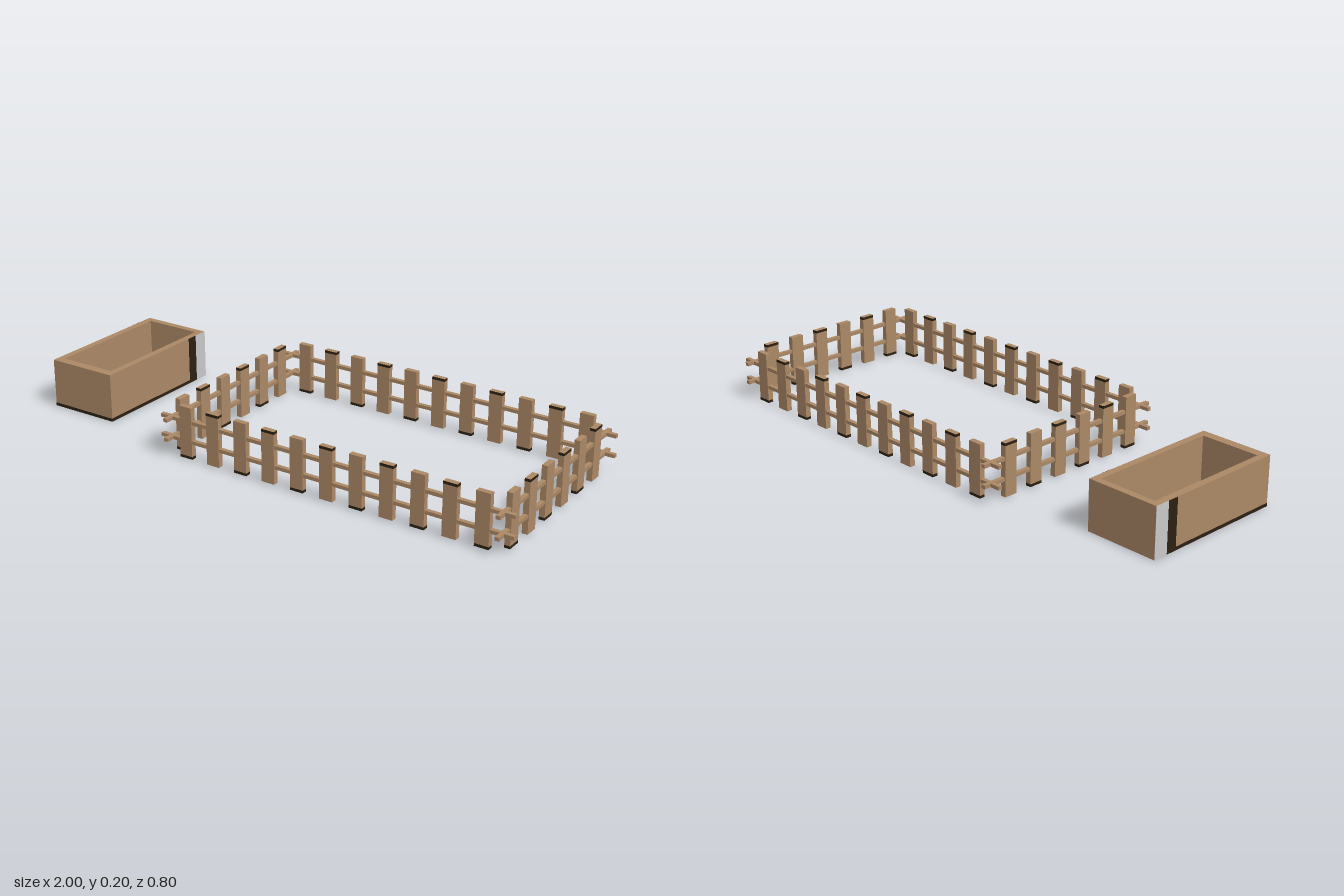
import * as THREE from 'three';

const wood = new THREE.MeshStandardMaterial({ color: 0xab8866 });
wood.name = 'wood';
const dark = new THREE.MeshStandardMaterial({ color: 0x2b2012 });
dark.name = 'darkStain';
const grey = new THREE.MeshStandardMaterial({ color: 0xc8c8c8 });
grey.name = 'paleGrey';

// Box between two corners
function block(name, material, [x0, y0, z0], [x1, y1, z1]) {
  const mesh = new THREE.Mesh(new THREE.BoxGeometry(x1 - x0, y1 - y0, z1 - z0), material);
  mesh.position.set((x0 + x1) / 2, (y0 + y1) / 2, (z0 + z1) / 2);
  mesh.name = name;
  return mesh;
}

// One picket, standing at the origin and wide along x; one end is stained
function picket(stainedTop) {
  const g = new THREE.Group();
  g.name = 'picket';
  const w = 0.026, t = 0.0105, lo = 0.005, hi = 0.2, cap = 0.01;
  const sides = [dark, dark, wood, wood, dark, dark];
  if (stainedTop) {
    g.add(block('board', wood, [-w, lo, -t], [w, hi - cap, t]),
      block('stainedEnd', sides, [-w, hi - cap, -t], [w, hi, t]));
  } else {
    g.add(block('board', wood, [-w, lo + cap, -t], [w, hi, t]),
      block('stainedEnd', sides, [-w, lo, -t], [w, lo + cap, t]));
  }
  return g;
}

// Straight fence run along x: two rails with evenly spaced pickets
function fenceRun(name, count, length) {
  const g = new THREE.Group();
  g.name = name;
  for (const y of [0.069, 0.143]) {
    g.add(block('rail', wood, [-length / 2, y - 0.0065, -0.008], [length / 2, y + 0.0065, 0.008]));
  }
  for (let i = 0; i < count; i++) {
    const p = picket(i % 2 === 1);
    p.position.x = (i - (count - 1) / 2) * 0.1177;
    g.add(p);
  }
  return g;
}

function createFence() {
  const fence = new THREE.Group();
  fence.name = 'fence';
  for (const [name, z] of [['frontFence', 0.362], ['backFence', -0.368]]) {
    const run = fenceRun(name, 11, 1.4);
    run.position.set(0.3, 0, z);
    fence.add(run);
  }
  for (const [name, x] of [['rightFence', -0.355], ['leftFence', 0.957]]) {
    const run = fenceRun(name, 6, 0.804);
    run.rotation.y = Math.PI / 2;
    run.position.set(x, 0, 0.009);
    run.children.forEach((c) => { if (c.name === 'rail') c.position.x += 0.009; });
    fence.add(run);
  }
  return fence;
}

function createTrough() {
  const g = new THREE.Group();
  g.name = 'trough';
  const x0 = -0.999, x1 = -0.721, z0 = -0.289, z1 = 0.27, h = 0.185, wall = 0.026, e = 0.001;

  // Floor and four walls
  g.add(block('floor', wood, [x0, 0.001, z0], [x1, 0.021, z1]),
    block('rightWall', wood, [x0, 0.021, z0], [x0 + wall, h, z1]),
    block('leftWall', wood, [x1 - wall, 0.021, z0], [x1, h, z1]),
    block('backWall', wood, [x0 + wall, 0.021, z0], [x1 - wall, h, z0 + wall]),
    block('frontWall', wood, [x0 + wall, 0.021, z1 - 0.034], [x1 - wall, h, z1]));

  // Painted strips near the back of both long sides
  for (const [a, b] of [[x0 - e, x0], [x1, x1 + e]]) {
    g.add(block('greyStrip', grey, [a, 0.001, z0], [b, h, -0.232]),
      block('darkStrip', dark, [a, 0.001, -0.232], [b, h, -0.19]),
      block('darkBase', dark, [a, 0.001, -0.19], [b, 0.013, z1]));
  }

  // Stain along the front lower edge and under it
  g.add(block('frontStain', dark, [x0, 0.001, z1], [x1, 0.012, z1 + e]),
    block('bottomStain', dark, [x0, 0, z1 - 0.05], [x1, 0.001, z1]));
  return g;
}

export function createModel() {
  const model = new THREE.Group();
  model.name = 'fencedPenWithTrough';
  model.add(createFence(), createTrough());
  return model;
}
